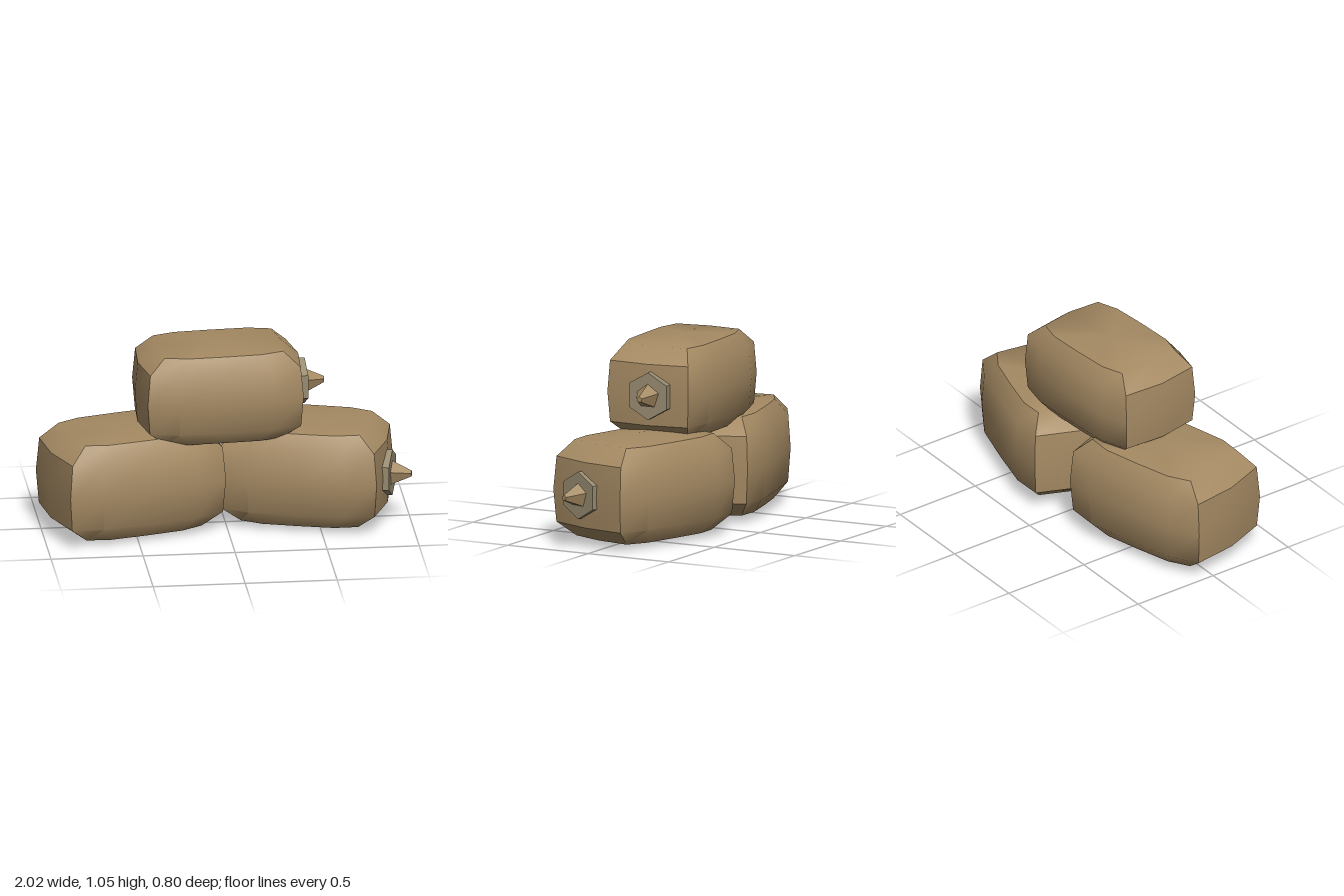
import * as THREE from 'three';
import { toCreasedNormals } from 'three/addons/utils/BufferGeometryUtils.js';

const cloth = new THREE.MeshStandardMaterial({ color: 0xa58a63 });
const collarCloth = new THREE.MeshStandardMaterial({ color: 0x978b70, flatShading: true });
const knotCloth = new THREE.MeshStandardMaterial({ color: 0xa58a63, flatShading: true });

// Plan outline of a sack, running from +x towards +z
const quarter = [[0.48, 0], [0.45, 0.26], [0.28, 0.31], [0, 0.315]];
const half = [...quarter, ...quarter.slice(0, 3).reverse().map(([x, z]) => [-x, z])];
const outline = [...half, ...half.slice(1, -1).reverse().map(([x, z]) => [x, -z])];

// Height, length scale and width scale of each layer; the ends close to a point
const layers = [
  [0, 0, 0], [0.03, 0.74, 0.75], [0.115, 0.97, 0.96], [0.3, 1, 1],
  [0.485, 0.965, 0.965], [0.575, 0.76, 0.77], [0.6, 0, 0],
];

function sackGeometry() {
  const pos = [];
  const n = outline.length;
  const at = (j, i) => {
    const [y, sx, sz] = layers[j];
    const [x, z] = outline[i % n];
    return [x * sx, y - 0.3, z * sz];
  };
  for (let j = 0; j < layers.length - 1; j++) {
    for (let i = 0; i < n; i++) {
      if (j > 0) pos.push(...at(j, i), ...at(j + 1, i), ...at(j, i + 1));
      if (j < layers.length - 2) pos.push(...at(j, i + 1), ...at(j + 1, i), ...at(j + 1, i + 1));
    }
  }
  const geo = new THREE.BufferGeometry();
  geo.setAttribute('position', new THREE.Float32BufferAttribute(pos, 3));
  return toCreasedNormals(geo, THREE.MathUtils.degToRad(42));
}

// Part whose axis runs along +x, out of the tied end of the sack
function endPart(name, geo, material, x, z) {
  const mesh = new THREE.Mesh(geo.rotateZ(-Math.PI / 2), material);
  mesh.name = name;
  mesh.position.set(x, 0, z);
  return mesh;
}

function makeSack(name, [x, y, z], yaw, [sx, sy, sz], endX, endZ) {
  const group = new THREE.Group();
  group.name = name;
  const body = new THREE.Mesh(sackGeometry(), cloth);
  body.name = 'sackBody';
  body.scale.set(sx, sy, sz);
  group.add(body);

  // Six-sided collar with its corners up and down, and a tapered five-sided knot
  group.add(endPart('collar', new THREE.CylinderGeometry(0.13, 0.13, 0.05, 6).rotateY(Math.PI / 2), collarCloth, endX, endZ));
  group.add(endPart('knot', new THREE.CylinderGeometry(0.017, 0.07, 0.11, 5).rotateY(-Math.PI / 2), knotCloth, endX + 0.075, endZ));

  group.position.set(x, y, z);
  group.rotation.y = THREE.MathUtils.degToRad(yaw);
  return group;
}

export function createModel() {
  const model = new THREE.Group();
  model.name = 'sackPile';
  model.add(
    makeSack('rightSack', [-0.515, 0.3, 0.03], 15, [1, 1, 1], 0.46, 0.02),
    makeSack('leftSack', [0.44, 0.291, -0.03], -16, [0.965, 0.97, 0.99], 0.455, 0.02),
    makeSack('topSack', [-0.04, 0.777, 0.008], 4, [0.95, 0.908, 0.93], 0.455, -0.025),
  );
  return model;
}
